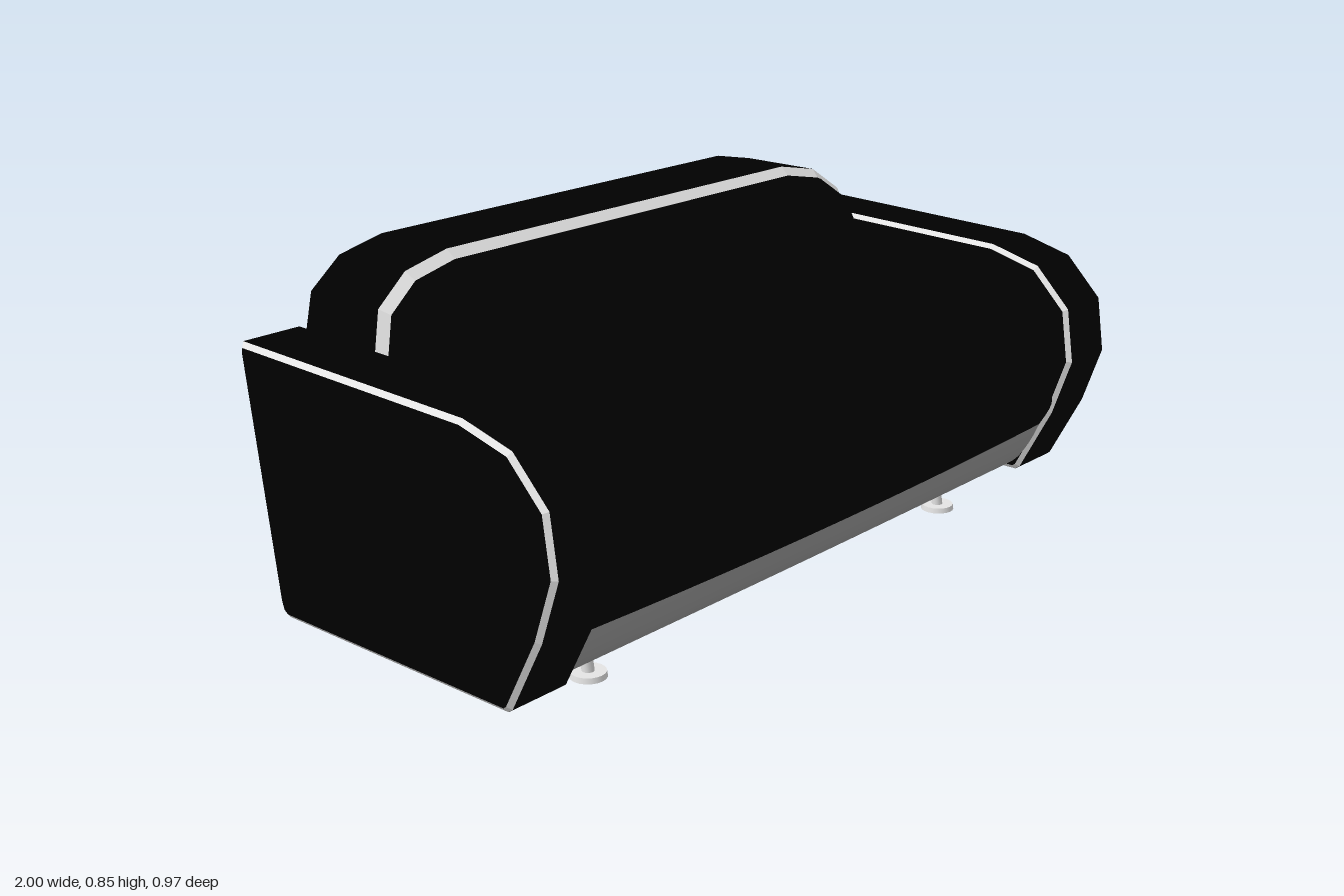
import * as THREE from 'three';

const leather = new THREE.MeshStandardMaterial({ color: 0x000000 });
leather.name = 'black leather';
const piping = new THREE.MeshStandardMaterial({ color: 0xe4e4e4 });
piping.name = 'white piping';
const grey = new THREE.MeshStandardMaterial({ color: 0xa0a0a0 });
grey.name = 'grey base';

// Moves every edge of a convex counter-clockwise outline inwards by d
function inset(points, d) {
  const n = points.length;
  const normal = (a, b) => {
    const l = Math.hypot(b[0] - a[0], b[1] - a[1]);
    return [-(b[1] - a[1]) / l, (b[0] - a[0]) / l];
  };
  return points.map((p, i) => {
    const a = normal(points[(i + n - 1) % n], p);
    const b = normal(p, points[(i + 1) % n]);
    const k = d / (1 + a[0] * b[0] + a[1] * b[1]);
    return [p[0] + (a[0] + b[0]) * k, p[1] + (a[1] + b[1]) * k];
  });
}

// Joins cross-section loops with flat facets; bands[i] picks leather (0) or piping (1)
function loft(name, sections, bands) {
  const geometry = new THREE.BufferGeometry();
  const pos = [];
  const n = sections[0].length;
  const addGroup = (material, triangles) => {
    geometry.addGroup(pos.length / 3, triangles.length, material);
    triangles.forEach((p) => pos.push(...p));
  };
  bands.forEach((material, s) => {
    const a = sections[s], b = sections[s + 1], tris = [];
    for (let i = 0; i < n; i++) {
      const j = (i + 1) % n;
      tris.push(a[i], a[j], b[j], a[i], b[j], b[i]);
    }
    addGroup(material, tris);
  });
  const first = sections[0], last = sections[sections.length - 1], caps = [];
  for (let i = 1; i < n - 1; i++) {
    caps.push(first[0], first[i + 1], first[i], last[0], last[i], last[i + 1]);
  }
  addGroup(0, caps);
  geometry.setAttribute('position', new THREE.Float32BufferAttribute(pos, 3));
  geometry.computeVertexNormals();
  const mesh = new THREE.Mesh(geometry, [leather, piping]);
  mesh.name = name;
  return mesh;
}

// Smooth sheet across the sofa following a (z, y) profile, sagging in the middle
function sheet(name, profile, material, sag) {
  const rows = profile.length - 1;
  const geometry = new THREE.PlaneGeometry(1.67, 1, 12, rows);
  const p = geometry.attributes.position;
  for (let i = 0; i < p.count; i++) {
    const row = Math.floor(i / 13);
    const { x: z, y } = profile[row];
    const x = p.getX(i);
    p.setXYZ(i, x, y - sag(row / rows) * (1 - (x / 0.835) ** 2), z);
  }
  geometry.computeVertexNormals();
  const mesh = new THREE.Mesh(geometry, material);
  mesh.name = name;
  return mesh;
}

const vectors = (list) => list.map(([z, y]) => new THREE.Vector2(z, y));
const curve = (list, n) => new THREE.SplineCurve(vectors(list)).getPoints(n);

// Arm outline as (-z, y)
const armOutline = [
  [-0.335, 0.083], [0.35, 0.083], [0.367, 0.095], [0.375, 0.12], [0.453, 0.67], [0.448, 0.692],
  [-0.235, 0.672], [-0.37, 0.637], [-0.465, 0.54], [-0.485, 0.405], [-0.435, 0.26], [-0.347, 0.092],
];

function createArm(side) {
  const inner = inset(armOutline, 0.011);
  const at = (outline, x) => outline.map(([u, y]) => [x, y, -u]);
  const c = side * 0.915;
  const name = side > 0 ? 'leftArm' : 'rightArm';
  return loft(name, [
    at(inner, c - 0.084), at(armOutline, c - 0.074), at(armOutline, c + 0.074), at(inner, c + 0.084),
  ], [1, 0, 1]);
}

// Leaning backrest with an arched top, piped edges and a raised front cushion
function createBackrest() {
  const bottom = 0.1;
  const half = [[0.83, bottom], [0.83, 0.66], [0.795, 0.76], [0.705, 0.823], [0.58, 0.848]];
  const arch = [...half, ...half.map(([x, y]) => [-x, y]).reverse()];
  const section = (d, z, lean, narrow = 1) => inset(arch, d).map(([x, y], i) => {
    const yy = i === 0 || i === arch.length - 1 ? bottom : y;
    return [x * narrow, yy, z + lean * (0.85 - yy)];
  });
  return loft('backrest', [
    section(0.024, -0.486, 0.144),
    section(0, -0.472, 0.144),
    section(0, -0.255, 0.22),
    section(0.02, -0.236, 0.22),
    section(0.022, -0.225, 0.22),
    section(0.034, -0.188, 0.22, 0.975),
  ], [1, 0, 1, 0, 0]);
}

// Slanted stem on a round foot
function createLeg(x, front) {
  const leg = new THREE.Group();
  leg.name = front ? 'frontLeg' : 'backLeg';
  const foot = new THREE.Mesh(new THREE.CylinderGeometry(0.04, 0.042, 0.013, 20), piping);
  foot.name = 'foot';
  foot.position.y = 0.0065;
  const stemGeometry = new THREE.CylinderGeometry(0.016, 0.014, 0.085, 14);
  const p = stemGeometry.attributes.position;
  for (let i = 0; i < p.count; i++) {
    p.setZ(i, p.getZ(i) + (p.getY(i) + 0.0425) * (front ? -0.2 : 0.2));
  }
  const stem = new THREE.Mesh(stemGeometry, piping);
  stem.name = 'stem';
  stem.position.y = 0.052;
  leg.add(foot, stem);
  leg.position.set(x, 0, front ? 0.222 : -0.352);
  return leg;
}

export function createModel() {
  const sofa = new THREE.Group();
  sofa.name = 'sofa';
  sofa.add(createArm(1), createArm(-1), createBackrest());

  // Seat cushion, tucked-under base panel and underside
  const seat = [[-0.25, 0.45], [0.05, 0.455], [0.27, 0.45], [0.38, 0.415], [0.433, 0.345], [0.436, 0.285], [0.405, 0.225]];
  const base = [[0.405, 0.225], [0.378, 0.17], [0.343, 0.118], [0.3, 0.085]];
  sofa.add(
    sheet('seatCushion', curve(seat, 24), leather, (t) => 0.03 - 0.015 * t),
    sheet('basePanel', curve(base, 8), grey, (t) => 0.015 * (1 - t)),
    sheet('underside', vectors([[0.3, 0.085], [-0.352, 0.085], [-0.379, 0.099]]), leather, () => 0),
  );

  for (const x of [-0.65, 0.65]) {
    sofa.add(createLeg(x, true), createLeg(x, false));
  }
  return sofa;
}
